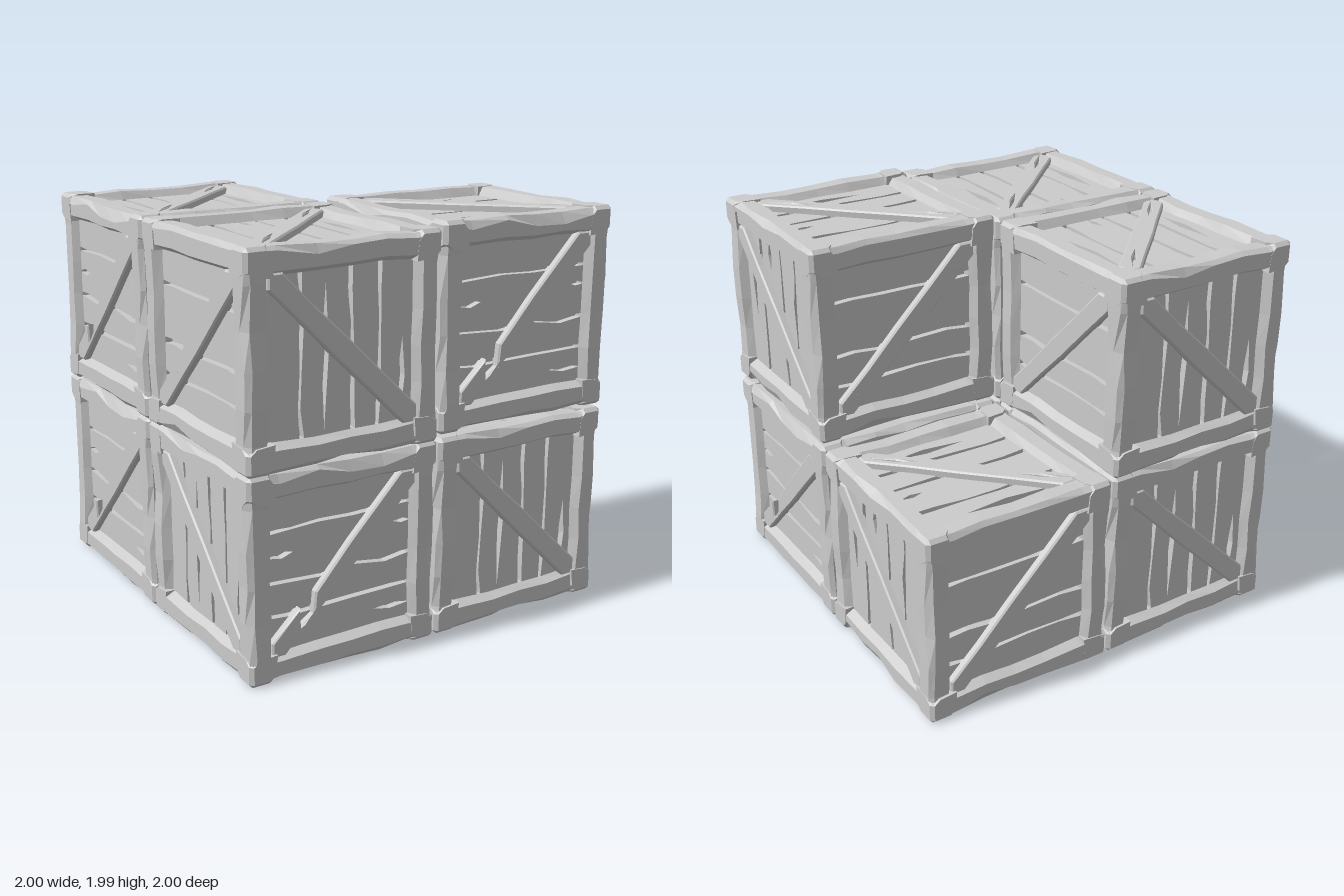
import * as THREE from 'three';

const H = 0.4975;      // half size of a crate
const C = 0.018;       // regular edge chamfer
const mat = new THREE.MeshStandardMaterial({ color: 0xcccccc, flatShading: true });

let seed = 7;
const rnd = (a, b) => {
  seed = (seed * 16807) % 2147483647;
  return a + (b - a) * (seed / 2147483647);
};

function mesh(geo, name) {
  const m = new THREE.Mesh(geo, mat);
  m.name = name;
  return m;
}

// Hewn frame beam along y at the +x +z edge, lofted from dented sections
function beamGeometry() {
  const ys = [-H, -H + C, -0.36, -0.2, -0.03, 0.14, 0.34, H - C, H];
  const sections = ys.map((y, k) => {
    const end = k === 0 || k === 8, mid = k > 1 && k < 7;
    const px = mid ? rnd(0, 0.016) : 0, pz = mid ? rnd(0, 0.007) : 0;
    const dent = () => (mid && rnd(0, 1) > 0.65 ? rnd(0.03, 0.055) : C);
    const w = mid ? rnd(-0.006, 0.006) : 0;
    const x = H - px, z = H - pz, lim = end ? H - C : H;
    return [
      [0.36, 0.36], [0.368 + w, 0.45], [0.393 + w, z], [x - dent(), z],
      [x, z - (mid ? rnd(C, 0.03) : C)], [x, 0.393 - w], [0.45, 0.368 - w],
    ].map(([a, b]) => [Math.min(a, lim), y, Math.min(b, lim)]);
  });
  const pos = [], tri = (...p) => p.forEach((v) => pos.push(...v));
  for (let s = 0; s < 8; s++) {
    const lo = sections[s], hi = sections[s + 1];
    for (let i = 0; i < 7; i++) {
      const j = (i + 1) % 7;
      tri(lo[i], lo[j], hi[j]);
      tri(lo[i], hi[j], hi[i]);
    }
  }
  for (let i = 1; i < 6; i++) {
    tri(sections[8][0], sections[8][i], sections[8][i + 1]);
    tri(sections[0][0], sections[0][i + 1], sections[0][i]);
  }
  const g = new THREE.BufferGeometry();
  g.setAttribute('position', new THREE.Float32BufferAttribute(pos, 3));
  g.computeVertexNormals();
  return g;
}

const toShape = (pts) => new THREE.Shape(pts.map(([x, y]) => new THREE.Vector2(x, y)));

// Spindle-shaped split between two points
function split(x0, y0, x1, y1, w) {
  const mx = x0 * 0.45 + x1 * 0.55, my = y0 * 0.45 + y1 * 0.55;
  const l = Math.hypot(x1 - x0, y1 - y0), nx = -(y1 - y0) / l * w, ny = (x1 - x0) / l * w;
  return toShape([[x0, y0], [mx + nx, my + ny], [x1, y1], [mx - nx, my - ny]]);
}

// Boards with ragged gaps and splits, plus a diagonal brace
function makePanel({ gaps, cracks, notch, mirror, horizontal }) {
  const panel = new THREE.Group();
  panel.name = 'panel';
  const ys = [-0.4, -0.24, -0.06, 0.12, 0.27, 0.4];
  const seams = gaps.map((g) => ys.map((y) => {
    const c = g + rnd(-0.01, 0.01), w = rnd(0.005, 0.017);
    return { y, l: c - w, r: c + w };
  }));
  for (let i = 0; i <= gaps.length; i++) {
    const left = i ? seams[i - 1].map((s) => [s.r, s.y]) : [[-0.4, -0.4], [-0.4, 0.4]];
    const right = i < gaps.length ? seams[i].map((s) => [s.l, s.y]) : [[0.4, -0.4], [0.4, 0.4]];
    const shape = toShape([...right, ...left.reverse()]);
    const lo = i ? gaps[i - 1] : -0.4, hi = i < gaps.length ? gaps[i] : 0.4;
    cracks.filter(([x]) => x > lo && x < hi)
      .forEach(([x, y0, y1, w]) => shape.holes.push(split(x, y0, x + 0.008, y1, w)));
    const board = mesh(new THREE.ExtrudeGeometry(shape, { depth: 0.035, bevelEnabled: false }), 'board');
    board.position.z = 0.415;
    panel.add(board);
  }
  const s = mirror ? -1 : 1;
  const upper = notch
    ? [[-0.17, 0.235], [-0.26, 0.23], [-0.215, 0.165], [-0.11, 0.155], [0.1, -0.03]]
    : [[-0.16, 0.225], [0.02, 0.055], [0.2, -0.125]];
  const outline = [
    [-0.38, 0.38], [-0.31, 0.38], ...upper, [0.38, -0.3], [0.38, -0.38], [0.31, -0.38],
    [0.14, -0.21], [-0.05, -0.025], [-0.2, 0.13], [-0.38, 0.31],
  ].map(([x, y]) => [x * s, y]);
  const brace = toShape(outline);
  brace.holes.push(split(0.34 * s, -0.36, 0.18 * s, -0.17, 0.008));
  if (!notch) brace.holes.push(split(-0.33 * s, 0.35, -0.17 * s, 0.16, 0.008));
  const braceMesh = mesh(new THREE.ExtrudeGeometry(brace, {
    depth: 0.035, bevelThickness: 0.008, bevelSize: 0.008, bevelOffset: -0.008, bevelSegments: 1,
  }), 'diagonalBrace');
  braceMesh.position.z = 0.443;
  panel.add(braceMesh);
  if (horizontal) panel.rotation.z = Math.PI / 2;
  return panel;
}

function makeCrate() {
  const crate = new THREE.Group();
  crate.name = 'crate';
  crate.add(mesh(new THREE.BoxGeometry(0.83, 0.83, 0.83), 'core'));

  // Four beams along each axis
  [[0, 0], [Math.PI / 2, 0], [0, Math.PI / 2]].forEach(([rx, rz]) => {
    for (let i = 0; i < 4; i++) {
      const beam = mesh(beamGeometry(), 'frameBeam');
      beam.rotation.y = i * Math.PI / 2;
      const set = new THREE.Group();
      set.name = 'frameEdge';
      set.rotation.set(rx, 0, rz);
      set.add(beam);
      crate.add(set);
    }
  });

  // Cracks: position across the boards, start, end, half width
  const q = Math.PI / 2;
  const faces = [
    ['frontPanel', 0, 0, { gaps: [-0.21, 0.05, 0.19], cracks: [[-0.09, -0.35, 0.31, 0.02], [0.31, -0.385, 0.02, 0.02]] }],
    ['rightPanel', 0, q, { gaps: [-0.2, -0.04, 0.22], horizontal: true, notch: true,
      cracks: [[0.09, 0.385, 0.25, 0.018], [-0.3, -0.385, -0.18, 0.015], [0.12, -0.385, -0.28, 0.012]] }],
    ['backPanel', 0, 2 * q, { gaps: [-0.19, 0.05, 0.2], cracks: [[-0.3, 0.385, -0.1, 0.02], [-0.08, 0.385, 0.22, 0.02]] }],
    ['leftPanel', 0, -q, { gaps: [-0.23, -0.07, 0.2], horizontal: true, cracks: [] }],
    ['topPanel', -q, 0, { gaps: [-0.2, 0.04, 0.2], mirror: true,
      cracks: [[-0.32, -0.3, 0.18, 0.024], [0.29, -0.16, 0.22, 0.022], [-0.05, 0.385, 0.26, 0.015]] }],
    ['bottomPanel', q, 0, { gaps: [-0.2, 0.04, 0.2], cracks: [[-0.3, -0.25, 0.15, 0.02], [0.3, -0.2, 0.2, 0.02]] }],
  ];
  faces.forEach(([name, rx, ry, spec]) => {
    const face = new THREE.Group();
    face.name = name;
    face.rotation.set(rx, ry, 0);
    face.add(makePanel(spec));
    crate.add(face);
  });
  return crate;
}

export function createModel() {
  seed = 7;
  const model = new THREE.Group();
  model.name = 'crateStack';
  const crate = makeCrate();
  const P = 0.5025, low = 0.492, q = Math.PI / 2;
  // x side, height, z side, turn
  [
    [-1, low, 1, -q], [1, low, 1, 0], [1, low, -1, -q], [-1, low, -1, 2 * q],
    [-1, 1.47, 1, 0], [1, 1.495, 1, -q], [-1, 1.47, -1, 2 * q],
  ].forEach(([x, y, z, turn], i) => {
    const c = crate.clone();
    c.name = (y > 1 ? 'upperCrate' : 'lowerCrate') + (i + 1);
    c.position.set(x * P, y, z * P);
    c.rotation.y = turn;
    c.scale.y = low / H;
    model.add(c);
  });
  return model;
}
